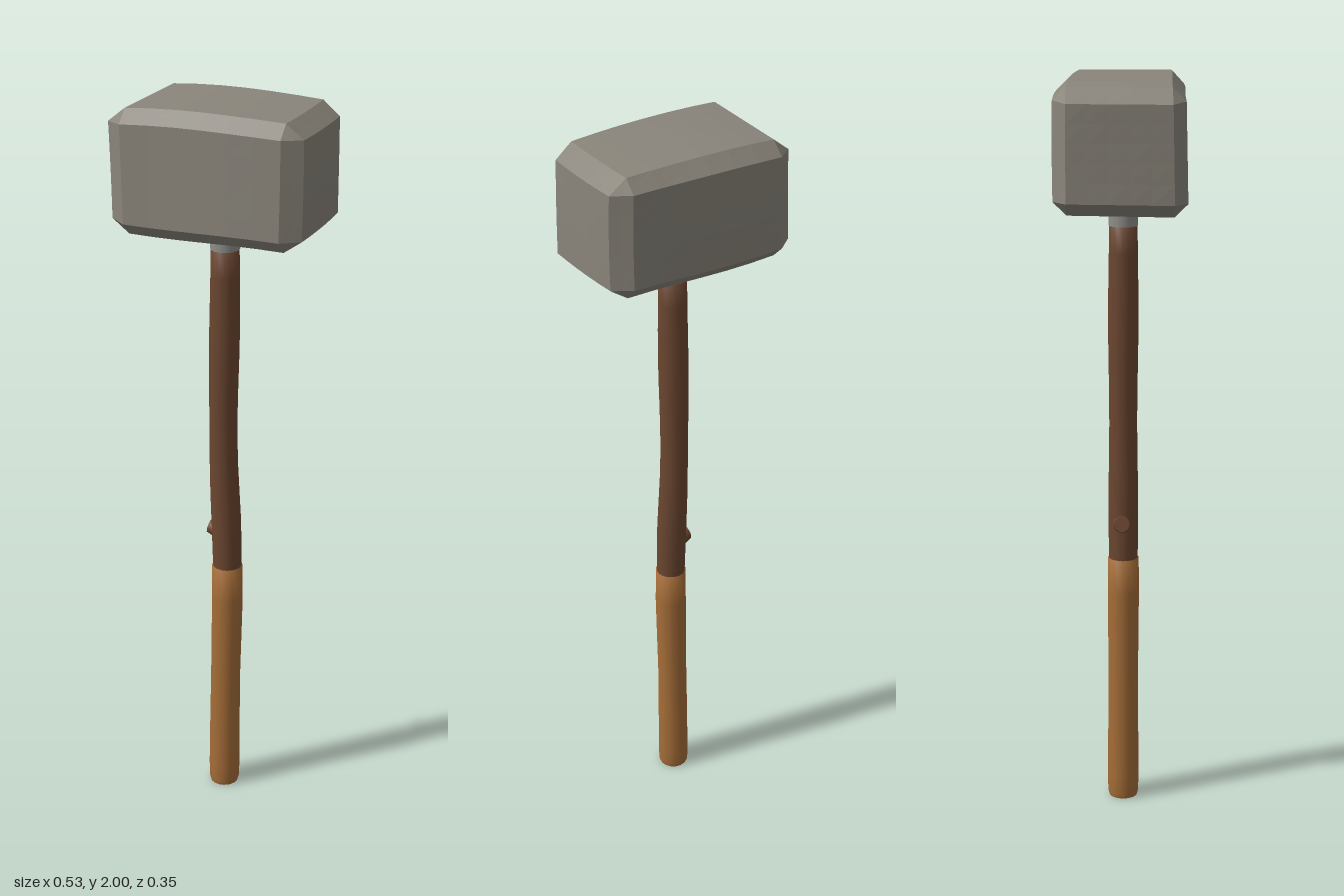
import * as THREE from 'three';

const stone = new THREE.MeshStandardMaterial({ color: 0x8a857b, flatShading: true });
stone.name = 'stone grey';
const darkWood = new THREE.MeshStandardMaterial({ color: 0x6b4630 });
darkWood.name = 'dark wood';
const lightWood = new THREE.MeshStandardMaterial({ color: 0xa56d38 });
lightWood.name = 'light wood';
const metal = new THREE.MeshStandardMaterial({ color: 0x8e8e8a });
metal.name = 'pale grey';

function add(group, name, geometry, material) {
  const mesh = new THREE.Mesh(geometry, material);
  mesh.name = name;
  group.add(mesh);
  return mesh;
}

// Sideways bend of the shaft at a given height
const bend = new THREE.SplineCurve([
  [0, -0.006], [0.3, -0.003], [0.6, 0.003], [0.8, 0.001],
  [1.0, -0.007], [1.2, -0.008], [1.45, -0.004], [1.7, -0.003],
].map(([y, x]) => new THREE.Vector2(y, x)));
const bendPoints = bend.getPoints(60);
function bendAt(y) {
  let i = 1;
  while (i < bendPoints.length - 1 && bendPoints[i].x < y) i++;
  const a = bendPoints[i - 1], b = bendPoints[i];
  return THREE.MathUtils.mapLinear(y, a.x, b.x, a.y, b.y);
}

// Turned section of the shaft, following the bend; profile is [radius, height]
function shaft(profile) {
  const g = new THREE.LatheGeometry(profile.map(([r, y]) => new THREE.Vector2(r, y)), 16);
  const p = g.attributes.position;
  for (let i = 0; i < p.count; i++) {
    p.setX(i, p.getX(i) + bendAt(p.getY(i)));
    p.setZ(i, p.getZ(i) + 0.002);
  }
  return g;
}

// Block with chamfered edges and hewn, uneven faces
function stoneBlock() {
  const half = [0.258, 0.161, 0.163];
  const inset = [0.046, 0.034, 0.033];
  const seg = [8, 7, 7];
  const g = new THREE.BoxGeometry(2, 2, 2, ...seg);
  const p = g.attributes.position;
  for (let i = 0; i < p.count; i++) {
    const unit = [p.getX(i), p.getY(i), p.getZ(i)];
    const extreme = unit.map((u) => Math.abs(u) > 0.999);
    const count = extreme.filter(Boolean).length;
    const pull = [0, 0, 0.5, 0.667][count];
    // outermost grid lines become the chamfer borders
    const v = unit.map((u, k) => {
      if (extreme[k]) return Math.sign(u) * (half[k] - inset[k] * pull);
      return (u / (1 - 2 / seg[k])) * (half[k] - inset[k]);
    });
    const [x, y, z] = v;
    const a = x / half[0], b = y / half[1], c = z / half[2];
    const right = a < 0 ? 1 : 0;
    // front and back faces
    if (c > 0) v[2] += c * (0.002 - 0.009 * Math.max(a, 0) ** 2 + 0.008 * a * a * right - 0.004 * b);
    else v[2] += c * (0.012 * Math.cos(2 * (a + 0.2)) * (1 - 0.5 * b * b) - 0.006 * a - 0.002);
    // left end bulges, right end is slightly hollow
    if (a > 0) v[0] += a * (0.006 * (1 - c * c) - 0.002 * b * b);
    else v[0] += a * (0.007 * c * b - 0.004 * (1 - c * c) * (1 - b * b) + 0.003);
    // crowned top, uneven bottom
    if (b > 0) v[1] += b * (0.007 * (1 - a * a) - 0.008 * a * a * right + 0.002);
    else v[1] += b * (0.003 * Math.sin(-3 * a) + 0.003 * c);
    p.setXYZ(i, v[0], v[1] + 1.834, v[2]);
  }
  g.computeVertexNormals();
  return g;
}

export function createModel() {
  const hammer = new THREE.Group();
  hammer.name = 'hammer';

  // Stone head
  add(hammer, 'head', stoneBlock(), stone);

  // Collar between shaft and head
  add(hammer, 'collar', shaft([[0.039, 1.615], [0.039, 1.71]]), metal);

  // Upper shaft
  const upper = [];
  for (let i = 0; i <= 12; i++) upper.push([0.039 + 0.0015 * Math.sin(i * 0.9), 0.69 + (i * 0.93) / 12]);
  upper.push([0, 1.62]);
  add(hammer, 'upperShaft', shaft(upper), darkWood);

  // Grip
  add(hammer, 'grip', shaft([
    [0.039, 0], [0.042, 0.012], [0.043, 0.06], [0.042, 0.2], [0.041, 0.35],
    [0.042, 0.5], [0.043, 0.6], [0.042, 0.698], [0, 0.7],
  ]), lightWood);

  // Butt end
  add(hammer, 'buttCap', shaft([[0, 0], [0.039, 0.0002]]), metal);

  // Stub of a cut branch
  const knot = add(hammer, 'knot', new THREE.CylinderGeometry(0.021, 0.03, 0.04, 10), darkWood);
  knot.position.set(-0.03, 0.803, 0);
  knot.rotation.z = 1.35;

  return hammer;
}
